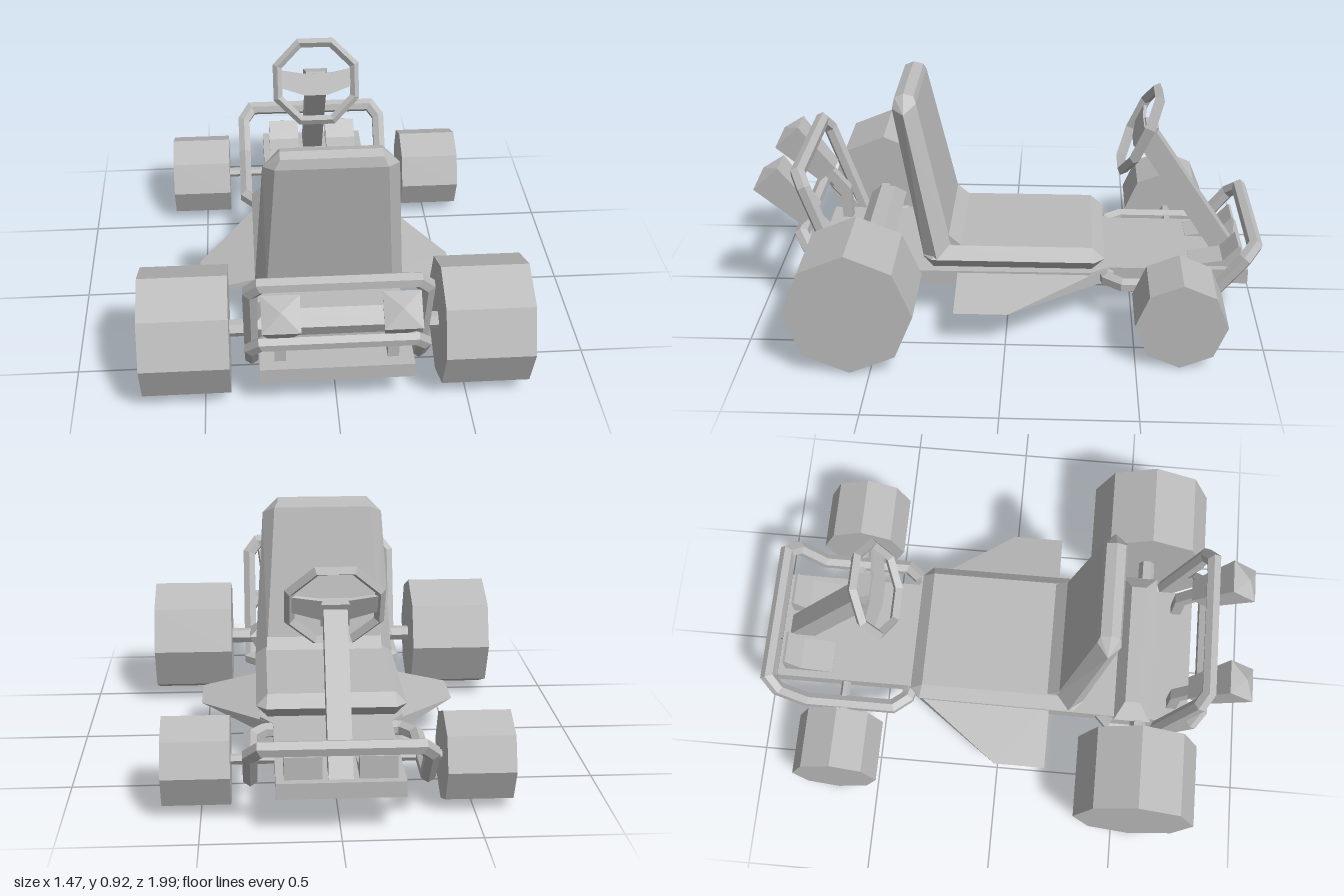
import * as THREE from 'three';
import { ConvexGeometry } from 'three/addons/geometries/ConvexGeometry.js';

const grey = new THREE.MeshStandardMaterial({ color: 0xbbbbbb, flatShading: true });
grey.name = 'plain grey';
const V = (x, y, z) => new THREE.Vector3(x, y, z);

export function createModel() {
  const kart = new THREE.Group();
  kart.name = 'kart';

  function add(name, geometry, x = 0, y = 0, z = 0) {
    const mesh = new THREE.Mesh(geometry, grey);
    mesh.name = name;
    mesh.position.set(x, y, z);
    kart.add(mesh);
    return mesh;
  }
  // Convex block from points on the +x side, mirrored across x = 0
  const mirroredHull = (pts) => new ConvexGeometry(
    pts.flatMap(([x, y, z]) => [V(x, y, z), V(-x, y, z)]));

  // Straight tube segments with mitred joints along a path
  function pipe(path, radius, sides = 6) {
    const dirs = path.slice(1).map((p, i) => p.clone().sub(path[i]).normalize());
    const turn = new THREE.Quaternion().setFromUnitVectors(V(0, 0, 1), dirs[0]);
    const rings = [];
    let ring = [];
    for (let i = 0; i < sides; i++) {
      const a = (i + 0.5) / sides * Math.PI * 2;
      ring.push(V(Math.cos(a) * radius, Math.sin(a) * radius, 0).applyQuaternion(turn).add(path[0]));
    }
    rings.push(ring);
    dirs.forEach((d, k) => {
      const n = d.clone().add(dirs[k + 1] ?? d).normalize();
      ring = ring.map((v) => v.clone().addScaledVector(d, path[k + 1].clone().sub(v).dot(n) / d.dot(n)));
      rings.push(ring);
    });
    const tri = [];
    for (let k = 0; k < dirs.length; k++) {
      for (let i = 0; i < sides; i++) {
        const j = (i + 1) % sides, a = rings[k], b = rings[k + 1];
        tri.push(a[i], a[j], b[j], a[i], b[j], b[i]);
      }
    }
    const first = rings[0], last = rings[rings.length - 1];
    for (let i = 1; i < sides - 1; i++) {
      tri.push(first[0], first[i + 1], first[i], last[0], last[i], last[i + 1]);
    }
    const g = new THREE.BufferGeometry().setFromPoints(tri);
    g.computeVertexNormals();
    return g;
  }
  // Symmetric tube: +x half of the path, joined to its mirror image
  const loop = (half, radius) => {
    const right = half.map((p) => V(...p));
    const left = half.map(([x, y, z]) => V(-x, y, z)).reverse();
    return pipe([...right, ...left], radius);
  };

  // Wheels and axles
  function wheelPair(name, radius, width, x, y, z) {
    for (const s of [-1, 1]) {
      const g = new THREE.CylinderGeometry(radius, radius, width, 8).rotateZ(Math.PI / 2);
      add(name + 'Wheel', g, s * x, y, z);
    }
  }
  wheelPair('rear', 0.245, 0.335, 0.567, 0.255, 0.575);
  wheelPair('front', 0.175, 0.25, 0.515, 0.18, -0.667);
  add('rearAxle', new THREE.CylinderGeometry(0.033, 0.033, 0.84, 6).rotateZ(Math.PI / 2), 0, 0.25, 0.572);
  add('frontAxle', new THREE.CylinderGeometry(0.02, 0.02, 0.8, 6).rotateZ(Math.PI / 2), 0, 0.18, -0.667);

  // Floor pan with side wings that thin towards their outer edge
  add('frontFloor', new THREE.BoxGeometry(0.46, 0.06, 0.62), 0, 0.18, -0.65);
  add('rearFloor', mirroredHull([0.15, 0.21].flatMap((y) => [
    [0.23, y, -0.4], [0.28, y, -0.33], [0.29, y, 0.78]])));
  for (const s of [-1, 1]) {
    add('sideWing', new ConvexGeometry([
      V(s * 0.23, 0.15, -0.4), V(s * 0.23, 0.21, -0.4), V(s * 0.25, 0.15, 0.2),
      V(s * 0.25, 0.21, 0.2), V(s * 0.52, 0.15, -0.01), V(s * 0.52, 0.15, 0.2)]));
  }

  // Seat
  add('seatCushion', mirroredHull([
    [0.25, 0.213, -0.335], [0.25, 0.213, 0.3],
    [0.255, 0.262, -0.385], [0.295, 0.262, -0.345], [0.295, 0.262, 0.3], [0.25, 0.262, 0.34],
    [0.25, 0.307, -0.335], [0.25, 0.307, 0.28]]));
  add('seatBack', mirroredHull([
    [0.245, 0.3, 0.225], [0.295, 0.26, 0.28], [0.25, 0.25, 0.335],
    [0.205, 0.89, 0.355], [0.255, 0.86, 0.4], [0.21, 0.87, 0.448],
    [0.19, 0.915, 0.365], [0.19, 0.925, 0.405], [0.19, 0.91, 0.44]]));
  add('seatFillet', mirroredHull([
    [0.245, 0.3, 0.18], [0.245, 0.355, 0.242], [0.245, 0.3, 0.28]]));

  // Engine block
  add('engine', mirroredHull([
    [0.28, 0.19, 0.5], [0.28, 0.19, 0.58],
    [0.32, 0.275, 0.47], [0.32, 0.275, 0.62],
    [0.255, 0.33, 0.51], [0.255, 0.33, 0.57]]));

  // Tube frames and bumpers
  add('frontBumper', loop([
    [0.23, 0.18, -0.39], [0.27, 0.18, -0.4], [0.318, 0.18, -0.46],
    [0.318, 0.18, -0.83], [0.318, 0.305, -0.93], [0.28, 0.345, -0.97]], 0.03));
  add('rearLowerBumper', loop([
    [0.23, 0.18, 0.41], [0.27, 0.18, 0.415], [0.318, 0.18, 0.46],
    [0.318, 0.18, 0.66], [0.318, 0.32, 0.785], [0.28, 0.363, 0.815]], 0.028));
  add('frontCrossTube', pipe([V(-0.25, 0.18, -0.4), V(0.25, 0.18, -0.4)], 0.028));
  add('rearCrossTube', pipe([V(-0.25, 0.18, 0.412), V(0.25, 0.18, 0.412)], 0.028));
  add('rearUpperBumper', loop([
    [0.318, 0.18, 0.65], [0.318, 0.58, 0.79], [0.28, 0.625, 0.815]], 0.03));

  // Exhausts: bent neck, widening square pipe, pointed end
  const axis = V(0, 0.74, 0.67).normalize();
  const across = V(0, 0.67, -0.74).normalize();
  for (const s of [-1, 1]) {
    const x = s * 0.212, start = V(x, 0.42, 0.785), end = V(x, 0.595, 0.945);
    const square = (c, r) => [-1, 1].flatMap((u) => [-1, 1].map((w) =>
      c.clone().addScaledVector(across, w * r).add(V(u * r, 0, 0))));
    add('exhaust', new ConvexGeometry([
      ...square(start, 0.045), ...square(end, 0.068), end.clone().addScaledVector(axis, 0.028)]));
    add('exhaustNeck', pipe([V(x, 0.2, 0.71), V(x, 0.335, 0.715), start], 0.03, 4));
  }

  // Steering wheel, spokes, hub and column
  const steering = new THREE.Group();
  steering.name = 'steeringWheel';
  steering.position.set(0, 0.718, -0.52);
  steering.rotation.x = -0.43;
  const rim = new THREE.Mesh(new THREE.TorusGeometry(0.18, 0.021, 4, 8).rotateZ(Math.PI / 8), grey);
  rim.name = 'steeringRim';
  const spokeShape = new THREE.Shape([
    [-0.17, 0.055], [-0.06, 0.035], [0.06, 0.035], [0.17, 0.055],
    [0.165, -0.02], [0.05, -0.06], [-0.05, -0.06], [-0.165, -0.02]].map((p) => new THREE.Vector2(...p)));
  const spokes = new THREE.Mesh(
    new THREE.ExtrudeGeometry(spokeShape, { depth: 0.014, bevelEnabled: false }).translate(0, 0, -0.012), grey);
  spokes.name = 'steeringSpokes';
  const hub = new THREE.Mesh(
    new THREE.CylinderGeometry(0.06, 0.075, 0.05, 4).rotateY(Math.PI / 4).rotateX(Math.PI / 2), grey);
  hub.name = 'steeringHub';
  hub.position.z = -0.03;
  steering.add(rim, spokes, hub);
  kart.add(steering);
  add('steeringColumn', pipe([V(0, 0.185, -0.895), V(0, 0.7, -0.545)], 0.062, 4));

  // Pedals: shallow ramp then a steep toe plate
  const ramp = new THREE.Shape([
    [0.73, 0.2], [0.73, 0.212], [0.86, 0.235], [0.92, 0.3], [0.93, 0.295], [0.93, 0.2]
  ].map((p) => new THREE.Vector2(...p)));
  for (const x of [-0.2, 0.065]) {
    const g = new THREE.ExtrudeGeometry(ramp, { depth: 0.135, bevelEnabled: false });
    add('pedal', g.rotateY(Math.PI / 2), x, 0, 0);
  }

  return kart;
}
